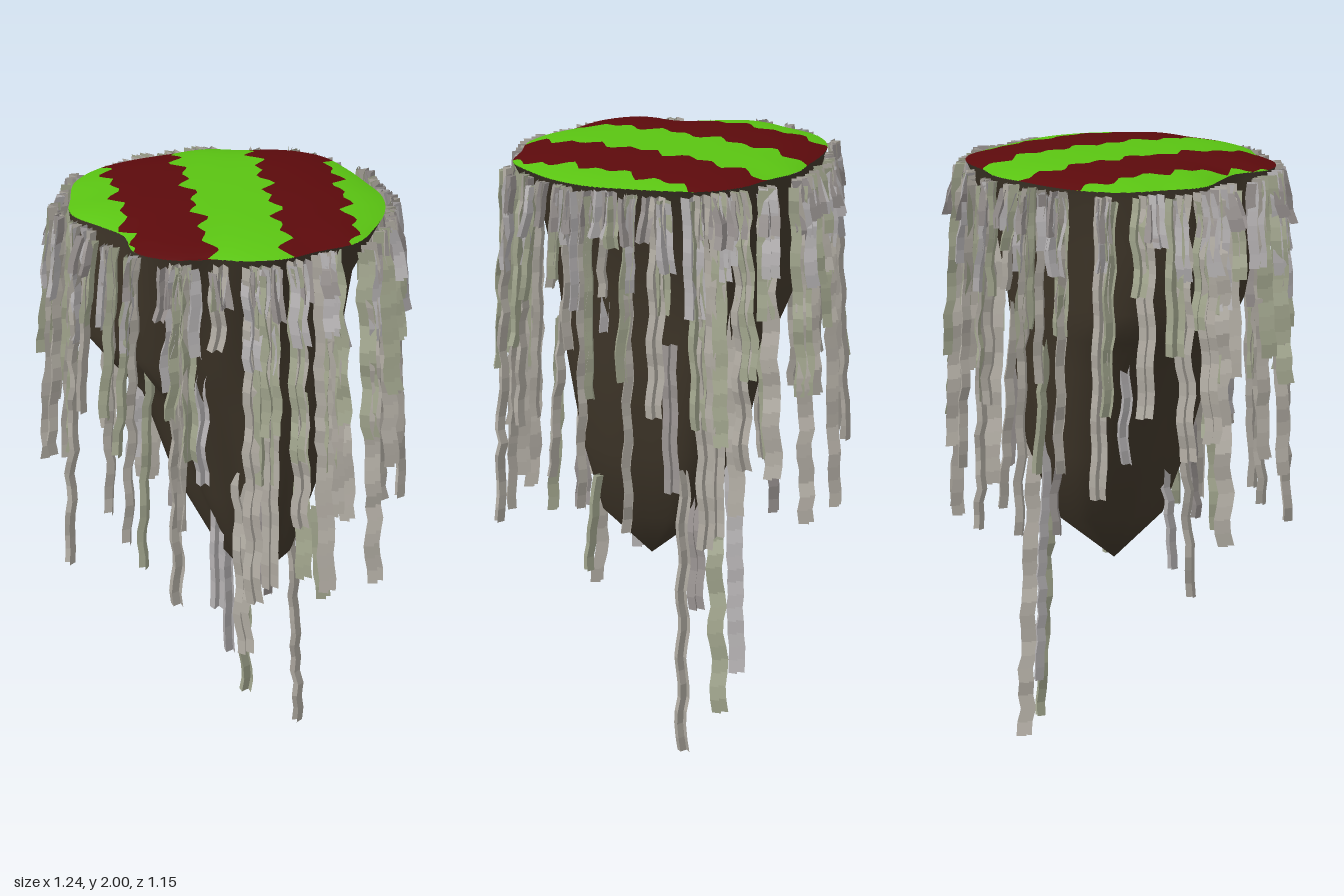
import * as THREE from 'three';
import { mergeGeometries, mergeVertices } from 'three/addons/utils/BufferGeometryUtils.js';

// Rim radius every 15 degrees, starting at +x and turning towards +z
const RIM = [.525, .53, .53, .54, .50, .50, .485, .465, .505, .505, .43, .455,
  .52, .52, .54, .53, .50, .48, .49, .48, .515, .53, .51, .505];

let seed = 7;
const rand = (a = 0, b = 1) => {
  seed = (seed * 16807) % 2147483647;
  return a + (b - a) * seed / 2147483647;
};

function rimRadius(angle) {
  const n = RIM.length;
  const t = (((angle / (2 * Math.PI)) % 1 + 1) % 1) * n;
  const i = Math.floor(t), f = t - i;
  const [p, a, b, q] = [-1, 0, 1, 2].map(k => RIM[(i + k + n) % n]);
  return a + 0.5 * f * (b - p + f * (2 * p - 5 * a + 4 * b - q + f * (3 * (a - b) + q - p)));
}

// Surface from rows x cols cells; point(row, col) gives [x, y, z]
function grid(rows, cols, point) {
  const pos = [], idx = [];
  for (let r = 0; r <= rows; r++) for (let c = 0; c <= cols; c++) pos.push(...point(r, c));
  for (let r = 0; r < rows; r++) for (let c = 0; c < cols; c++) {
    const a = r * (cols + 1) + c, b = a + 1, d = a + cols + 1, e = d + 1;
    idx.push(a, d, b, b, d, e);
  }
  const g = new THREE.BufferGeometry();
  g.setAttribute('position', new THREE.Float32BufferAttribute(pos, 3));
  g.setIndex(idx);
  return g;
}

function addMesh(parent, name, geometry, color, options = {}) {
  const mesh = new THREE.Mesh(geometry, new THREE.MeshStandardMaterial({ color, ...options }));
  mesh.name = name;
  parent.add(mesh);
}

// Outline x on the given side for a row at z
function rimX(z, side) {
  let lo = 0.04, hi = side * 0.65;
  for (let i = 0; i < 30; i++) {
    const m = (lo + hi) / 2;
    if (Math.hypot(m, z) < rimRadius(Math.atan2(z, m))) lo = m; else hi = m;
  }
  return lo;
}

// Nearly flat top with a dropped edge, in stripes with ragged shared borders
function buildTop(group) {
  const rows = 60, cols = 8;
  const rag = (z, k) => 0.022 * (Math.abs(((z * 9 + k * 0.37) % 1 + 1) % 1 - 0.5) * 4 - 1)
    + 0.014 * Math.sin(z * 31 + k * 2);
  const borders = [-0.36, -0.115, 0.145, 0.39];
  const top = new THREE.Group();
  top.name = 'stripedTop';
  for (let s = 0; s < 5; s++) {
    const g = grid(rows, cols, (r, c) => {
      const z = -0.487 * Math.cos(Math.PI * r / rows);
      const min = rimX(z, -1), max = rimX(z, 1);
      const edge = k => k < 0 ? min : k > 3 ? max
        : THREE.MathUtils.clamp(borders[k] + rag(z, k), min, max);
      const x = THREE.MathUtils.lerp(edge(s - 1), edge(s), c / cols);
      const t = Math.min(1, Math.hypot(x, z) / rimRadius(Math.atan2(z, x)));
      return [x, 1.957 + 0.022 * (1 - t ** 6) + 0.021 * (1 - t * t), z];
    });
    g.computeVertexNormals();
    addMesh(top, s % 2 ? 'redStripe' : 'greenStripe', g, s % 2 ? 0x5c0a0c : 0x5ac412,
      { side: THREE.DoubleSide });
  }
  group.add(top);
}

// Tapering rock below: [y, left, right, front, back]
function buildRock(group) {
  const levels = [
    [1.958, -.525, .525, .487, -.487], [1.93, -.52, .51, .475, -.475],
    [1.75, -.50, .42, .40, -.41], [1.53, -.48, .385, .35, -.37],
    [1.42, -.39, .37, .33, -.35], [1.30, -.28, .355, .31, -.33],
    [1.0, -.175, .31, .25, -.28], [.76, -.04, .22, .19, -.18], [.61, .09, .09, .02, .02]];
  const cols = 72;
  const g = mergeVertices(grid(levels.length - 1, cols, (r, c) => {
    const [y, l, right, f, b] = levels[r];
    const a = -2 * Math.PI * (c % cols) / cols, R = rimRadius(a);
    return [(l + right) / 2 + (right - l) / 2 * Math.cos(a) * R / 0.525, y,
      (f + b) / 2 + (f - b) / 2 * Math.sin(a) * R / 0.487];
  }), 1e-5);
  g.computeVertexNormals();
  addMesh(group, 'rock', g, 0x40372a);
}

// Gently crinkled, pleated strip hanging from yTop to yBottom and facing outwards
function strand(x, z, yTop, yBottom, width, flare, lean) {
  const out = Math.atan2(x, z) + rand(-0.3, 0.3);
  const rows = Math.max(3, Math.round((yTop - yBottom) / 0.045));
  const phase = rand(0, 6), sway = rand(0.002, 0.009);
  const crinkle = Array.from({ length: rows + 1 }, () => rand(-0.006, 0.006));
  const g = grid(rows, 3, (r, c) => {
    const t = r / rows;
    const u = (c / 3 - 0.5) * width + sway * Math.sin(phase + r * 1.3) + lean * t;
    const v = (c % 2 ? 0.016 : -0.014) + crinkle[r] + flare * t;
    return [x + u * Math.cos(out) + v * Math.sin(out), yTop + (yBottom - yTop) * t,
      z - u * Math.sin(out) + v * Math.cos(out)];
  });
  return g.toNonIndexed();
}

function buildStrands(group) {
  // Clumps around the rim: [x, z, bottom of the longest strand]
  const clumps = [
    [-.47, -.36, .93], [-.53, -.22, 1.2], [-.575, -.11, 1.05], [-.57, -.02, 1.1],
    [-.525, .07, .74], [-.49, .13, 1.3], [-.44, .27, 1.0], [-.37, .39, .93], [-.25, .475, .74],
    [-.21, .485, 1.0], [-.1, .50, 1.65], [.01, .53, .75], [.08, .53, .8], [.17, .50, 1.0],
    [.26, .45, .74], [.29, .43, 1.0], [.44, .38, .74], [.50, .27, 1.1], [.54, .19, 1.15],
    [.55, .11, 1.6], [.56, .06, 1.4], [.58, -.01, .87], [.55, -.08, 1.6], [.54, -.17, .80],
    [.515, -.27, 1.2], [.41, -.38, .74], [.36, -.42, .78], [.30, -.47, 1.0], [.18, -.50, .95],
    [.02, -.535, .77], [-.03, -.535, 1.2], [-.11, -.515, 1.6], [-.20, -.505, .78],
    [-.25, -.475, 1.3], [-.32, -.43, 1.0]];
  // Strands hanging lower down from the rock: [x, z, top, bottom]
  const low = [
    [.24, -.20, .95, 0], [.09, -.22, .95, .1], [.04, -.26, 1.2, .23], [.15, -.18, .9, .46],
    [.01, .24, 1.1, .46], [.28, .11, .9, .58], [-.05, .13, .95, .58], [.06, .28, 1.3, .72],
    [-.19, -.2, 1.4, .9], [-.28, .16, 1.5, .75], [-.26, -.14, 1.4, 1.0], [.33, -.2, 1.4, .9],
    [.35, .2, 1.5, .9], [.2, .3, 1.4, .74], [-.13, .3, 1.5, 1.1], [-.18, .36, 1.68, 1.47],
    [.15, -.33, 1.5, .8], [-.05, -.32, 1.5, .95], [.37, .02, 1.58, 1.43], [-.1, -.3, 1.3, .75]];
  const colors = [0xb0aba2, 0xa2a68e, 0xb4b1b2, 0x9a9492];
  const bins = colors.map(() => []);
  let n = 0;
  const put = g => bins[n++ % colors.length].push(g);

  for (const [x, z, bottom] of clumps) {
    // Start close to the rim and drift outwards on the way down
    const r = Math.hypot(x, z), k = 1 - 0.015 / r, length = 1.95 - bottom;
    put(strand(x * k, z * k, 1.95, bottom, 0.05, 0.025, rand(-0.02, 0.02)));
    for (const f of [0.6, 0.3, 0.15]) {
      const side = rand(-0.035, 0.035), drop = Math.max(0.15, length * f * rand(0.75, 1.25));
      put(strand(x * k + side * z / r, z * k - side * x / r, rand(1.92, 1.955), 1.95 - drop,
        rand(0.04, 0.065), rand(0, 0.045), rand(-0.02, 0.02)));
    }
  }
  for (const [x, z, top, bottom] of low) put(strand(x, z, top, bottom, 0.045, 0.035, 0));

  const strands = new THREE.Group();
  strands.name = 'hangingStrands';
  bins.forEach((list, i) => {
    const g = mergeGeometries(list);
    g.computeVertexNormals();
    addMesh(strands, 'strands' + (i + 1), g, colors[i], { side: THREE.DoubleSide, flatShading: true });
  });
  group.add(strands);
}

export function createModel() {
  seed = 7;
  const group = new THREE.Group();
  group.name = 'hangingIsland';
  buildTop(group);
  buildRock(group);
  buildStrands(group);
  return group;
}
